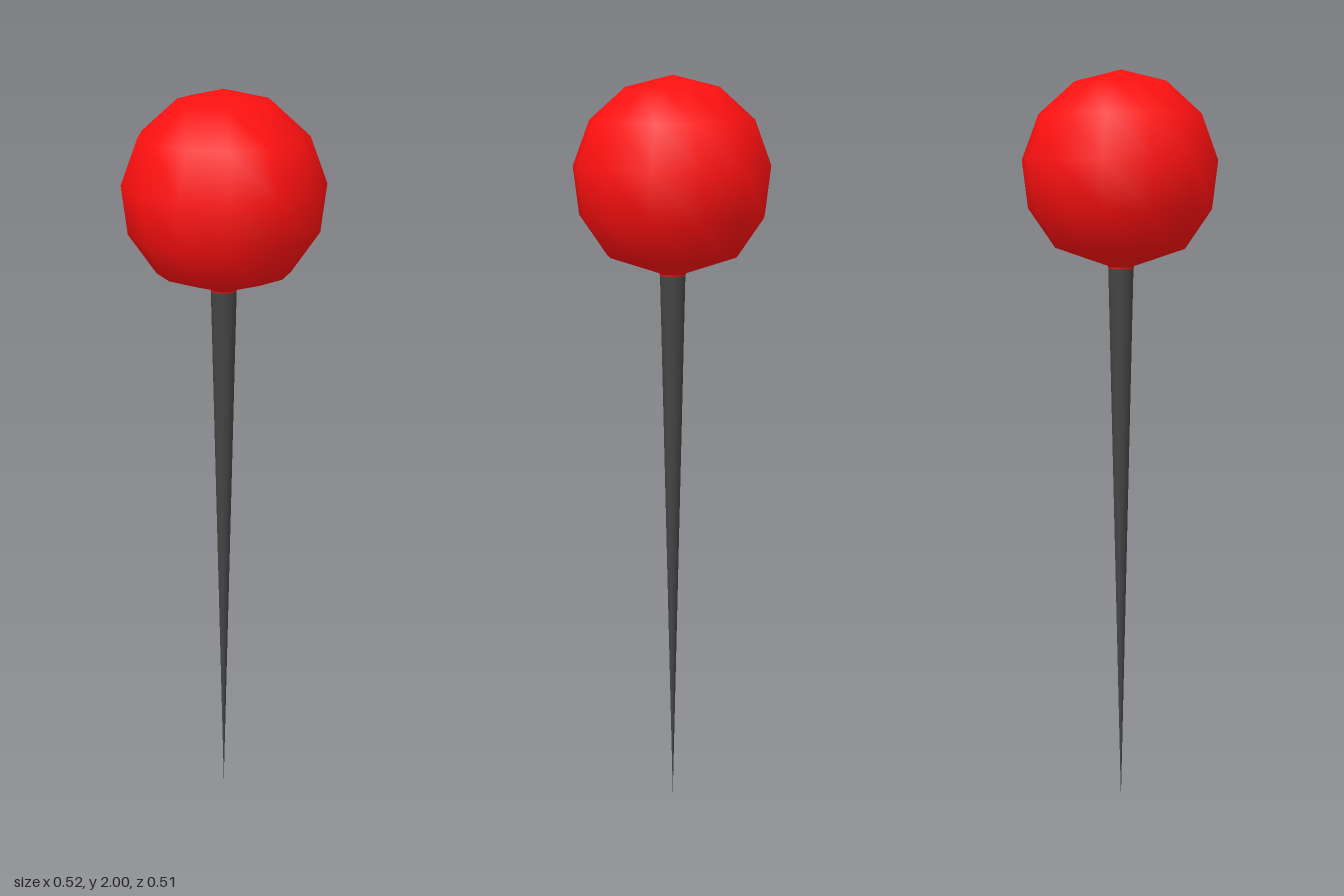
import * as THREE from 'three';

const SIDES = 13;
const RADIUS = 0.263;
const CENTRE_Y = 2 - RADIUS;
const NECK_Y = 1.493;
const NECK_R = 0.034;

// Revolve a bottom-to-top profile, with one corner of the polygon facing the back
function revolve(name, points, color) {
  const geometry = new THREE.LatheGeometry(points, SIDES, Math.PI);
  const mesh = new THREE.Mesh(geometry, new THREE.MeshStandardMaterial({ color }));
  mesh.name = name;
  return mesh;
}

export function createModel() {
  const group = new THREE.Group();
  group.name = 'ballHeadPin';

  // Round head: a coarse ball that closes in on the needle with a tiny collar
  const head = [
    new THREE.Vector2(NECK_R + 0.001, NECK_Y - 0.006),
    new THREE.Vector2(NECK_R + 0.001, NECK_Y),
  ];
  for (let ring = 5; ring >= 0; ring--) {
    const angle = (ring * 2 * Math.PI) / SIDES;
    head.push(new THREE.Vector2(RADIUS * Math.sin(angle), CENTRE_Y + RADIUS * Math.cos(angle)));
  }
  group.add(revolve('head', head, 0xff1010));

  // Needle: a long slim taper ending in a point on the ground
  const needle = [new THREE.Vector2(0, 0), new THREE.Vector2(NECK_R, NECK_Y + 0.005)];
  group.add(revolve('needle', needle, 0x444444));

  // The odd-sided outline is slightly longer towards the back, so centre it
  group.children.forEach((part) => { part.position.z = 0.004; });
  return group;
}
